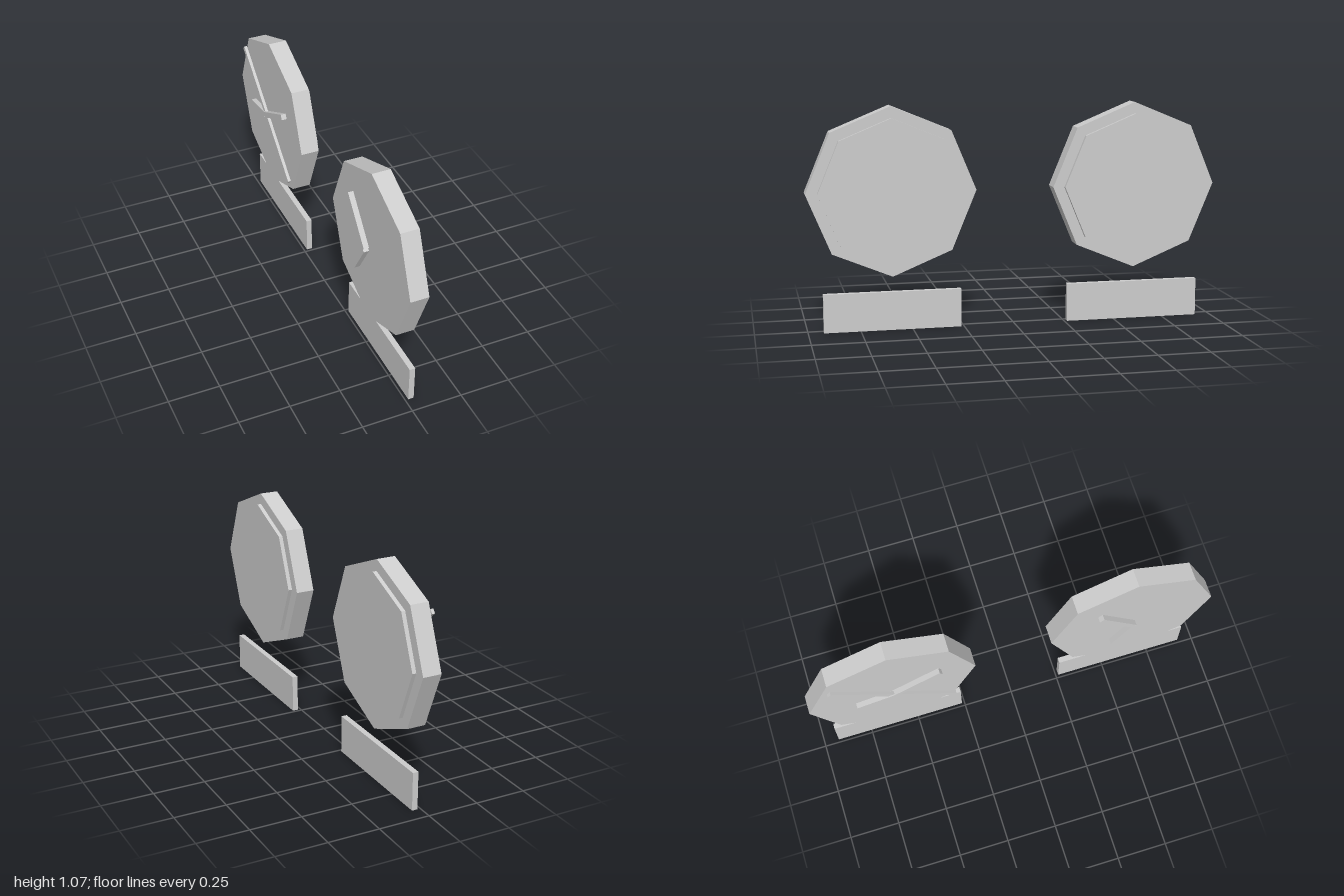
import * as THREE from 'three';

export function createModel() {
  const model = new THREE.Group();
  const grey = new THREE.MeshStandardMaterial({ color: 0xcccccc, flatShading: true });
  grey.name = 'plain grey';

  const add = (parent, name, geometry, x, y, z) => {
    const mesh = new THREE.Mesh(geometry, grey);
    mesh.name = name;
    mesh.position.set(x, y, z);
    parent.add(mesh);
    return mesh;
  };

  // Octagonal slab lying across x, with one corner at the top
  const octagon = (radius, depth) =>
    new THREE.CylinderGeometry(radius, radius, depth, 8).rotateZ(Math.PI / 2);

  // Straight bar between two [z, y] points, measured from the dial centre
  const hand = (dial, name, [z0, y0], [z1, y1], depth, width) => {
    const bar = new THREE.BoxGeometry(depth, width, Math.hypot(z1 - z0, y1 - y0));
    add(dial, name, bar, -0.061, (y0 + y1) / 2, (z0 + z1) / 2)
      .rotation.x = -Math.atan2(y1 - y0, z1 - z0);
  };

  // Each dial has a raised face on one side and a plaque below
  const makeDial = (name, z) => {
    const dial = new THREE.Group();
    dial.name = name;
    dial.position.set(0, 0.668, z);
    add(dial, 'dialBody', octagon(0.406, 0.091), 0.006, 0, 0);
    add(dial, 'raisedFace', octagon(0.351, 0.02), 0.061, 0, 0);
    add(model, name + 'Plaque', new THREE.BoxGeometry(0.028, 0.186, 0.663), 0.029, 0.093, z);
    model.add(dial);
    return dial;
  };

  // Front dial: two hands
  const front = makeDial('frontDial', 0.595);
  hand(front, 'longHand', [0, 0], [-0.175, 0.197], 0.026, 0.028);
  hand(front, 'shortHand', [0, 0], [-0.095, -0.161], 0.026, 0.028);

  // Rear dial: two hands and a thin bar crossing the whole face
  const rear = makeDial('rearDial', -0.595);
  hand(rear, 'longHand', [0, 0], [0.233, 0.124], 0.026, 0.028);
  hand(rear, 'shortHand', [0, 0], [-0.182, -0.03], 0.026, 0.028);
  hand(rear, 'thinHand', [-0.287, 0.24], [0.287, -0.238], 0.015, 0.024);

  return model;
}
